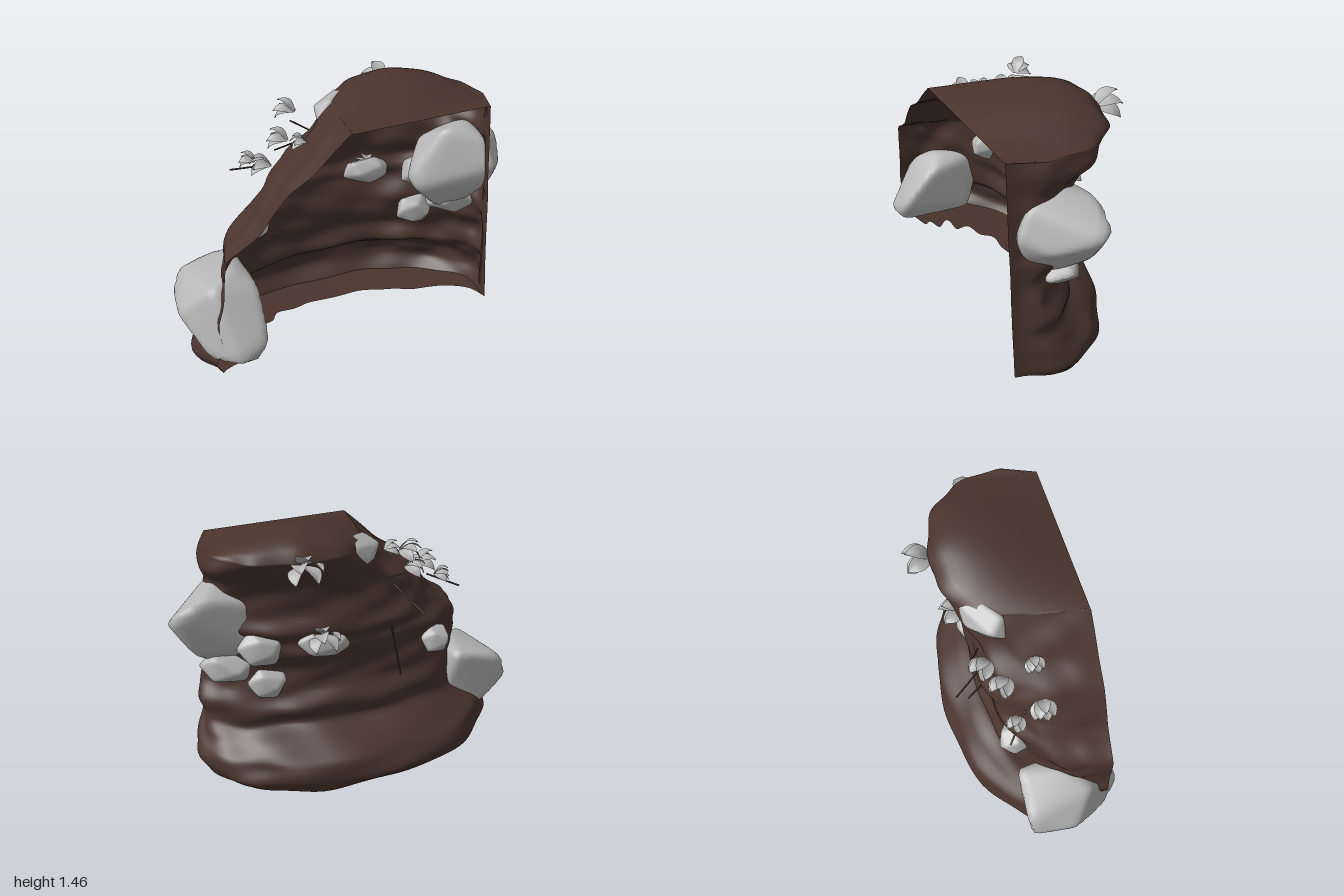
import * as THREE from 'three';
import { mergeVertices } from 'three/addons/utils/BufferGeometryUtils.js';
import { ConvexGeometry } from 'three/addons/geometries/ConvexGeometry.js';

const mat = (name, color, side = THREE.FrontSide) => {
  const m = new THREE.MeshStandardMaterial({ color, side });
  m.name = name;
  return m;
};
const { lerp, smoothstep, clamp } = THREE.MathUtils;

// Height, left limit, right limit and back limit of each earth layer
const layers = [
  [0.0, -0.94, 0.87, -0.41], [0.09, -0.97, 0.9, -0.475], [0.19, -0.93, 0.89, -0.445],
  [0.27, -0.87, 0.87, -0.34], [0.35, -0.82, 0.855, -0.23], [0.45, -0.79, 0.86, -0.26],
  [0.55, -0.77, 0.83, -0.205], [0.68, -0.76, 0.81, -0.195], [0.79, -0.74, 0.83, -0.235],
  [0.86, -0.64, 0.8, -0.235], [0.92, -0.56, 0.825, -0.27], [1.0, -0.5, 0.8, -0.24],
  [1.1, -0.41, 0.8, -0.23], [1.18, -0.28, 0.78, -0.26], [1.28, -0.17, 0.805, -0.34],
  [1.36, -0.08, 0.78, -0.385],
];
const limits = new THREE.CatmullRomCurve3(layers.map(([, l, r, b]) => new THREE.Vector3(l, r, b)));
const heights = new THREE.CatmullRomCurve3(layers.map(([y]) => new THREE.Vector3(y, 0, 0)));

// Open plan outlines: x share from left to right, depth share from front to back
const plan = (points) => new THREE.CatmullRomCurve3(points.map(([s, t]) => new THREE.Vector3(s, t, 0)));
const lowOutline = plan([
  [0, 0], [0.01, 0.26], [0.06, 0.52], [0.2, 0.81], [0.41, 0.95], [0.63, 1],
  [0.8, 0.91], [0.93, 0.7], [1, 0.35], [0.97, 0],
]);
const highOutline = plan([
  [0, 0], [0.01, 0.28], [0.04, 0.58], [0.13, 0.85], [0.33, 0.98], [0.55, 1],
  [0.78, 0.92], [0.94, 0.72], [1, 0.35], [0.97, 0],
]);

const frontZ = (x) => 0.37 - 0.14 * x - 0.06 * x * x;

// Point on the earth wall, u along the outline and v upward
function wallPoint(u, v) {
  const { x: l, y: r, z: b } = limits.getPoint(v);
  const { x: s, y: t } = lowOutline.getPoint(u).lerp(highOutline.getPoint(u), smoothstep(v, 0.5, 0.85));
  const y = heights.getPoint(v).x;
  const ripple = Math.min(1, 4 * t) * (0.01 * Math.sin(u * 23 + y * 9) * Math.sin(y * 31 + u * 4)
    + 0.007 * Math.sin(u * 47 - y * 17));
  let x = l + (r - l) * s + ripple * (s - 0.5) * 1.6;
  // Straight right front edge, and a foot turned in at the left
  x = lerp(x, 0.845 - 0.1 * v, smoothstep(u, 0.9, 1));
  x += 0.13 * (1 - smoothstep(u, 0, 0.11)) * (1 - smoothstep(v, 0.1, 0.3));
  const f = frontZ(x);
  const z = f - t * (f - b) - ripple * t;
  const wave = 0.018 * Math.sin(u * 13 + y * 5) * Math.sin(Math.PI * v);
  return new THREE.Vector3(x, y + 0.085 * (1 - t) * (1 - v) ** 6 + wave, z);
}

// Domed top, spanning from the wall rim to the straight front edge
function capPoint(u, k) {
  const rim = wallPoint(u, 1), left = wallPoint(0, 1), right = wallPoint(1, 1);
  const share = clamp((rim.x - left.x) / (right.x - left.x), 0, 1);
  const p = rim.clone().lerp(left.lerp(right, share), k);
  p.y += 0.1 * Math.sin(Math.PI * k ** 0.62) * Math.sin(Math.PI * share);
  return p;
}

// Wall and top as one continuous skin
const bankPoint = (u, w) => (w <= 5 / 6 ? wallPoint(u, w * 1.2) : capPoint(u, w * 6 - 5));

// Ragged floor lip turning inward from the foot of the wall
function lipPoint(u, k) {
  const p = wallPoint(u, 0);
  const jag = 0.05 * Math.sin(u * 70) * (1 - smoothstep(u, 0.1, 0.5));
  const reach = (0.34 + jag) * smoothstep(u, 0, 0.06) * (1 - smoothstep(u, 0.72, 1));
  return p.lerp(new THREE.Vector3(0, p.y + 0.03, 0.3), reach * (1 - k));
}

// Smooth grid surface from a point function
function sheet(fn, nu, nv) {
  const pos = [], index = [];
  for (let j = 0; j <= nv; j++) {
    for (let i = 0; i <= nu; i++) {
      pos.push(...fn(i / nu, j / nv).toArray());
      if (i < nu && j < nv) {
        const a = j * (nu + 1) + i, b = a + nu + 1;
        index.push(a, b, a + 1, a + 1, b, b + 1);
      }
    }
  }
  const g = new THREE.BufferGeometry();
  g.setAttribute('position', new THREE.Float32BufferAttribute(pos, 3));
  g.setIndex(index);
  g.computeVertexNormals();
  return g;
}

function seeded(seed) {
  let s = seed * 7919 + 17;
  return () => (s = (s * 16807) % 2147483647) / 2147483647;
}

// Boulder: a ball shrunk onto the softened hull of a few corner points
function boulderGeometry(corners) {
  const centre = corners.reduce((c, p) => c.add(p), new THREE.Vector3()).divideScalar(corners.length);
  const hull = new ConvexGeometry(corners.map((p) => p.clone().sub(centre).multiplyScalar(1.04)));
  const h = hull.attributes.position, planes = [], tri = new THREE.Triangle();
  for (let i = 0; i < h.count; i += 3) {
    tri.setFromAttributeAndIndices(h, i, i + 1, i + 2);
    const n = tri.getNormal(new THREE.Vector3());
    planes.push(n.divideScalar(n.dot(tri.a)));
  }
  let g = new THREE.IcosahedronGeometry(1, 10);
  g.deleteAttribute('uv');
  g.deleteAttribute('normal');
  g = mergeVertices(g, 1e-4);
  const p = g.attributes.position, d = new THREE.Vector3();
  for (let i = 0; i < p.count; i++) {
    d.fromBufferAttribute(p, i).normalize();
    const sum = planes.reduce((t, n) => t + (Math.max(0, n.dot(d)) * 0.1) ** 26, 0);
    d.multiplyScalar(0.1 * sum ** (-1 / 26)).add(centre);
    p.setXYZ(i, d.x, d.y, d.z);
  }
  g.computeVertexNormals();
  return g;
}

// Scattered corners of a small stone with the given half sizes
function stoneCorners(seed, half) {
  const rnd = seeded(seed), size = new THREE.Vector3(...half).multiplyScalar(1.1);
  return Array.from({ length: 14 }, (_, i) => {
    const y = 1 - (2 * (i + 0.5)) / 14, a = i * 2.4 + rnd() * 0.7, w = Math.sqrt(1 - y * y);
    return new THREE.Vector3(w * Math.cos(a), y, w * Math.sin(a)).multiply(size);
  });
}

// Broad pointed leaf that arches outward along +z
const leafGeometry = sheet((u, v) => new THREE.Vector3(
  (u - 0.5) * 0.075 * Math.sin(Math.PI * (0.08 + 0.92 * v)) ** 0.8,
  0.045 * Math.sin(v * 2.3) - 0.02 * v * v + 0.015 * Math.abs(u - 0.5),
  0.125 * v), 4, 7);

export function createModel() {
  const model = new THREE.Group();
  model.name = 'rockyBank';
  const earth = mat('earth brown', 0x4a342d, THREE.DoubleSide);
  const stone = mat('stone grey', 0xb4b4b4);
  const leafGrey = mat('leaf grey', 0xb2b2b2, THREE.DoubleSide);
  const bark = mat('twig brown', 0x3a2a24);
  const add = (name, geometry, material, parent = model) => {
    const mesh = new THREE.Mesh(geometry, material);
    mesh.name = name;
    parent.add(mesh);
    return mesh;
  };

  // Hollow earth bank with its floor lip
  add('earthBank', sheet(bankPoint, 96, 108), earth);
  add('floorLip', sheet(lipPoint, 96, 4), earth);

  // Two large boulders at the ends, by their corners
  Object.entries({
    leftBoulder: [
      [-0.7, 0.58, 0.2], [-0.95, 0.5, -0.04], [-0.66, 0.56, -0.07], [-1, 0.36, 0.22], [-1, 0.34, -0.02],
      [-0.57, 0.5, 0.28], [-0.82, 0.53, 0.33], [-0.56, 0.28, 0.48], [-0.72, 0.2, 0.53], [-0.62, 0.15, 0.46],
      [-0.87, 0.18, 0.42], [-0.85, 0.16, 0], [-0.6, 0.18, 0.05],
    ],
    rightBoulder: [
      [0.58, 1.17, 0.05], [0.72, 1.18, 0], [0.38, 0.88, 0], [0.41, 0.82, 0.06], [0.57, 0.67, 0.02],
      [0.75, 0.68, 0], [0.78, 1.12, 0.13], [0.8, 1.13, -0.2], [0.96, 1.06, -0.22], [1, 1.01, -0.15],
      [0.93, 0.93, 0.05], [0.82, 0.98, 0.2], [0.8, 0.85, 0.16], [0.88, 0.82, -0.16], [0.8, 0.78, 0.05],
      [0.5, 1.05, -0.15], [0.5, 0.8, -0.15],
    ],
  }).forEach(([name, corners]) => {
    add(name, boulderGeometry(corners.map((c) => new THREE.Vector3(...c))), stone);
  });

  // Smaller stones: centre, half sizes and turn
  [
    [[0.69, 0.69, -0.06], [0.16, 0.1, 0.12], 0],
    [[0.49, 0.585, -0.14], [0.12, 0.09, 0.07], 0],
    [[0.53, 0.82, -0.18], [0.13, 0.1, 0.085], 0],
    [[0.2, 0.84, -0.23], [0.15, 0.08, 0.07], 0],
    [[-0.5, 0.69, -0.06], [0.09, 0.085, 0.09], 0],
    [[-0.01, 1.29, -0.15], [0.16, 0.1, 0.09], 0.75],
  ].forEach(([at, half, turn], i) => {
    const mesh = add('stone' + (i + 1), boulderGeometry(stoneCorners(i + 3, half)), stone);
    mesh.position.set(...at);
    mesh.rotation.y = turn;
  });

  // Leaf tufts: base point, heading and scale
  [
    [[0.34, 1.335, -0.38], Math.PI, 1.15], [[0.22, 0.89, -0.25], Math.PI, 1.1],
    [[-0.24, 1.29, -0.16], -2.4, 0.9], [[-0.3, 1.16, -0.08], -2.2, 0.9],
    [[-0.43, 1.11, 0.09], -1.7, 0.9], [[-0.23, 1.21, 0.07], -1.6, 0.7],
    [[-0.49, 1.08, -0.04], -2.1, 0.7],
  ].forEach(([at, heading, size], n) => {
    const tuft = new THREE.Group();
    tuft.name = 'leafTuft' + (n + 1);
    tuft.position.set(...at);
    tuft.rotation.y = heading;
    tuft.scale.setScalar(size);
    const rnd = seeded(n + 40);
    for (let i = 0; i < 5; i++) {
      const leaf = add('leaf', leafGeometry, leafGrey, tuft);
      leaf.rotation.set(0.5 - (i % 3) * 0.45, (i - 2) * 0.22 + rnd() * 0.2, (i - 2) * -0.2, 'YXZ');
    }
    model.add(tuft);
  });

  // Bare twigs, from root to tip
  [
    [[-0.2, 1.11, -0.18], [-0.32, 0.99, -0.345]], [[-0.2, 0.86, -0.17], [-0.22, 0.61, -0.29]],
    [[-0.46, 1.07, 0.0], [-0.62, 1.02, -0.1]], [[-0.12, 1.14, -0.2], [-0.24, 1.2, -0.26]],
  ].forEach(([a, b], i) => {
    const line = new THREE.LineCurve3(new THREE.Vector3(...a), new THREE.Vector3(...b));
    add('twig' + (i + 1), new THREE.TubeGeometry(line, 1, 0.005, 5), bark);
  });

  return model;
}
